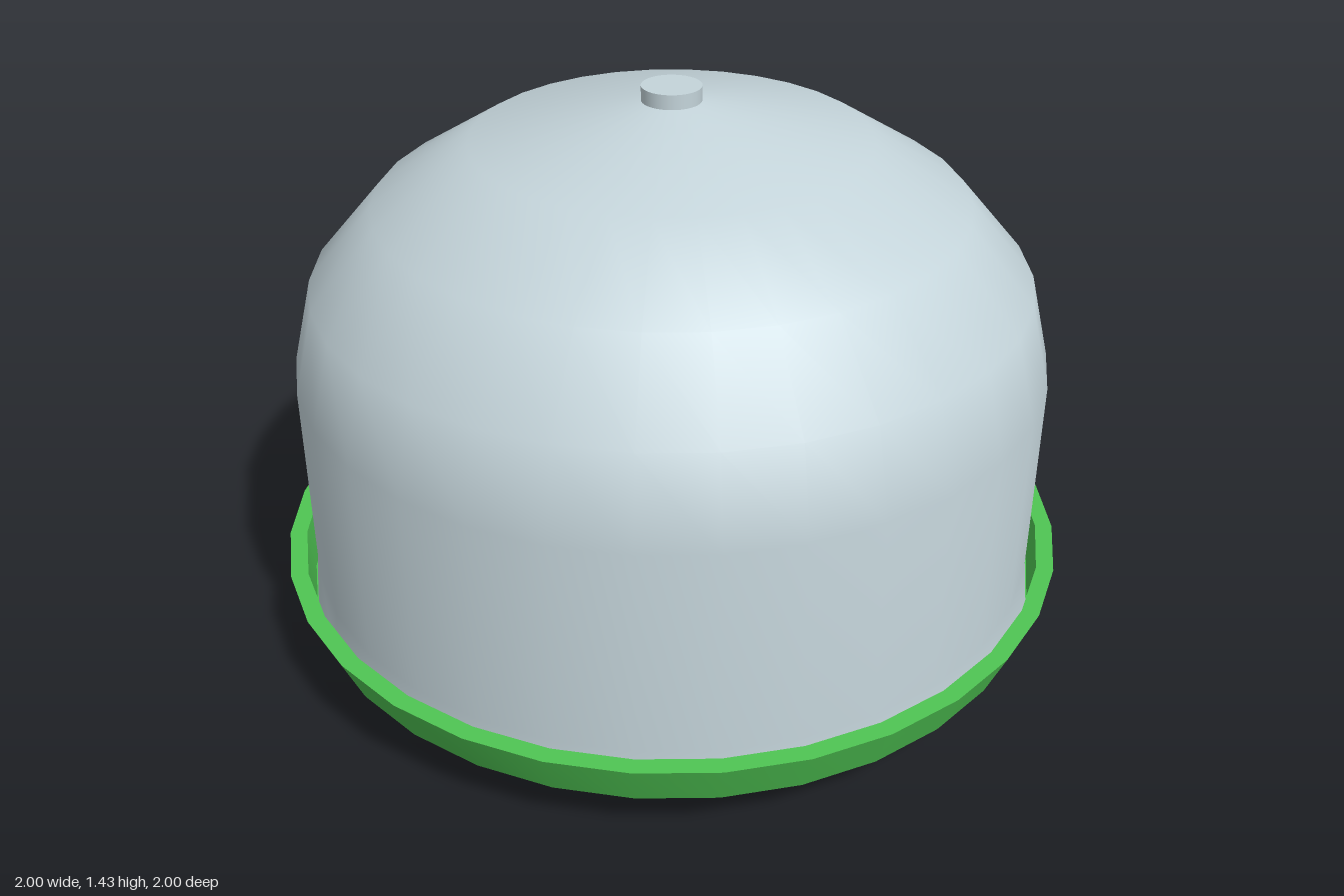
import * as THREE from 'three';
import { toCreasedNormals } from 'three/addons/utils/BufferGeometryUtils.js';

const SIDES = 32;

const shellMaterial = new THREE.MeshStandardMaterial({ color: 0xc4d4da });
const trayMaterial = new THREE.MeshStandardMaterial({ color: 0x4fc553 });

// Revolves [radius, height] pairs, listed from the bottom centre outwards and up
function revolve(name, profile, material, crease) {
  const points = profile.map(([r, y]) => new THREE.Vector2(r, y));
  let geometry = new THREE.LatheGeometry(points, SIDES);
  if (crease) geometry = toCreasedNormals(geometry, crease);
  const mesh = new THREE.Mesh(geometry, material);
  mesh.name = name;
  return mesh;
}

export function createModel() {
  const model = new THREE.Group();
  model.name = 'domedContainer';

  // Tray: shallow bowl, ledge, flared rim and inner floor
  model.add(revolve('tray', [
    [0, 0], [0.44, 0.005], [0.71, 0.02], [0.8, 0.055], [0.85, 0.1], [0.875, 0.135],
    [0.95, 0.135], [1, 0.255], [0.957, 0.255], [0.945, 0.145], [0, 0.145],
  ], trayMaterial, 0.8));

  // Dome: slightly flared foot, straight wall, faceted shoulder and shallow cone
  model.add(revolve('dome', [
    [0.942, 0.146], [0.928, 0.25], [0.928, 0.77], [0.875, 0.98],
    [0.715, 1.165], [0.48, 1.31], [0.07, 1.4], [0, 1.4],
  ], shellMaterial));

  // Button on top of the dome
  const knob = new THREE.Mesh(new THREE.CylinderGeometry(0.072, 0.072, 0.045, SIDES), shellMaterial);
  knob.name = 'topKnob';
  knob.position.y = 1.4125;
  model.add(knob);

  return model;
}
